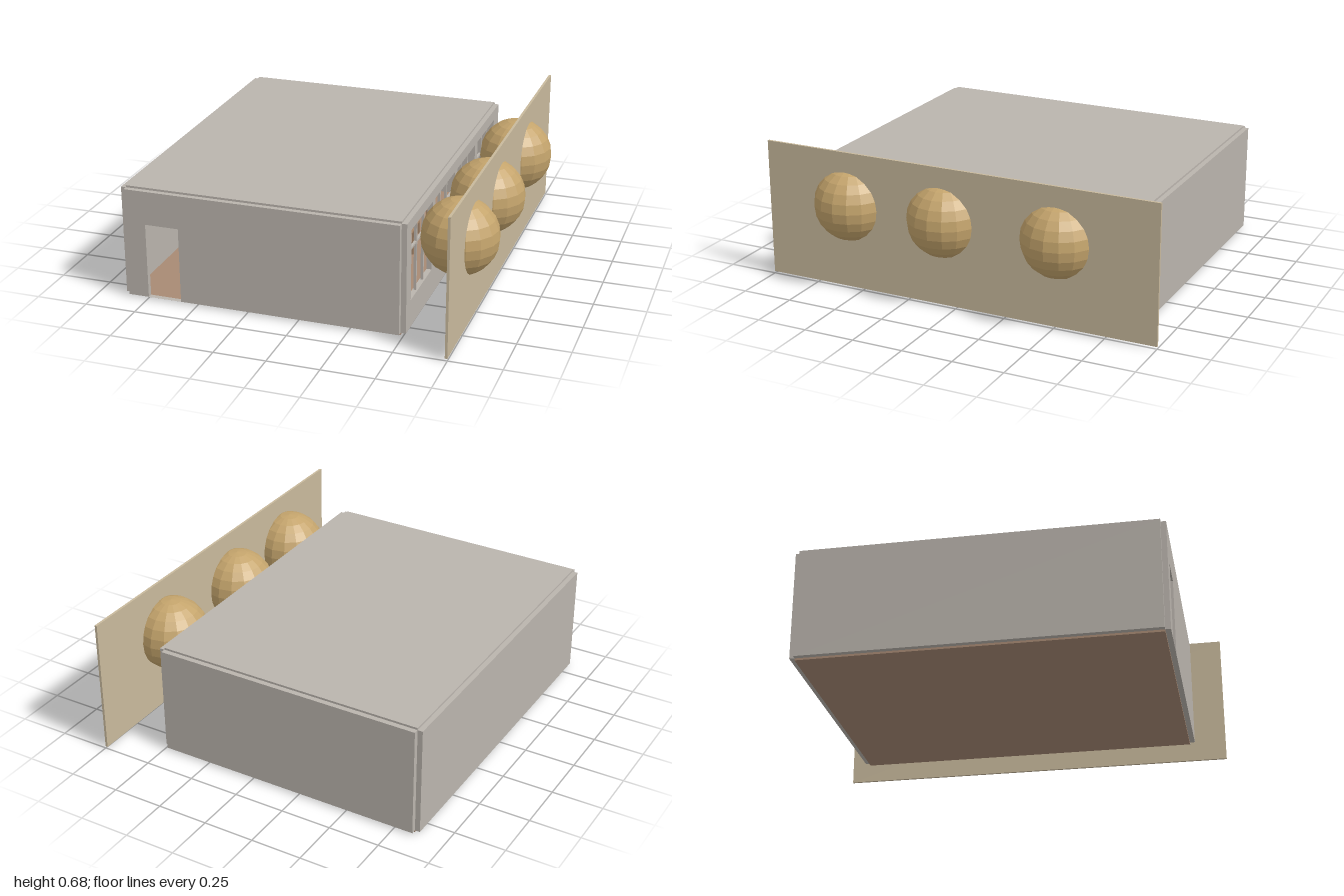
import * as THREE from 'three';

const mat = (name, color, flatShading = false) => {
  const m = new THREE.MeshStandardMaterial({ color, flatShading });
  m.name = name;
  return m;
};

export function createModel() {
  const model = new THREE.Group();
  model.name = 'classroom';
  const wallMat = mat('wall grey', 0xbab4ad);
  const floorMat = mat('floor brown', 0xa88a74);
  const woodMat = mat('furniture wood', 0xa8886c);
  const darkMat = mat('dark grey', 0x5c5a58);
  const panelMat = mat('backdrop tan', 0xc8b99c);
  const ballMat = mat('foliage ochre', 0xc4a46c, true);

  const add = (parent, name, geometry, material, x = 0, y = 0, z = 0) => {
    const mesh = new THREE.Mesh(geometry, material);
    mesh.name = name;
    mesh.position.set(x, y, z);
    parent.add(mesh);
    return mesh;
  };
  // box given by its minimum and maximum corners
  const box = (parent, name, material, [x0, y0, z0], [x1, y1, z1]) =>
    add(parent, name, new THREE.BoxGeometry(x1 - x0, y1 - y0, z1 - z0), material,
      (x0 + x1) / 2, (y0 + y1) / 2, (z0 + z1) / 2);
  const rect = (Type, x0, y0, x1, y1) => new Type([
    new THREE.Vector2(x0, y0), new THREE.Vector2(x1, y0),
    new THREE.Vector2(x1, y1), new THREE.Vector2(x0, y1)]);
  // upright wall with rectangular openings
  const wallGeometry = (a, b, holes) => {
    const shape = rect(THREE.Shape, a, 0.01, b, 0.545);
    shape.holes = holes.map(h => rect(THREE.Path, ...h));
    return new THREE.ExtrudeGeometry(shape, { depth: 0.025, bevelEnabled: false });
  };

  // room shell: walls stand outside the floor and ceiling, leaving notched corners
  const X0 = -0.845, X1 = 0.485, Z0 = -0.835, Z1 = 0.83;
  box(model, 'floor', floorMat, [X0, 0, Z0], [X1, 0.01, Z1]);
  box(model, 'ceiling', wallMat, [X0, 0.545, Z0], [X1, 0.555, Z1]);
  box(model, 'backWall', wallMat, [X0, 0.01, Z0 - 0.025], [X1, 0.545, Z0]);
  box(model, 'rightWall', wallMat, [X0 - 0.025, 0.01, Z0], [X0, 0.545, Z1]);
  add(model, 'doorWall', wallGeometry(X0, X1, [[-0.745, 0.0101, -0.58, 0.38]]), wallMat, 0, 0, Z1);

  // window wall with four openings
  const windows = [-0.57, -0.18, 0.205, 0.59];
  const windowWall = add(model, 'windowWall',
    wallGeometry(Z0, Z1, windows.map(z => [z - 0.17, 0.145, z + 0.17, 0.49])), wallMat, X1 + 0.025);
  windowWall.rotation.y = -Math.PI / 2;

  // glazing bars
  windows.forEach(z => {
    const frame = new THREE.Group();
    frame.name = 'windowFrame';
    model.add(frame);
    [-0.057, 0.057].forEach(d =>
      box(frame, 'mullion', wallMat, [0.49, 0.145, z + d - 0.006], [0.502, 0.49, z + d + 0.006]));
    box(frame, 'transom', wallMat, [0.49, 0.38, z - 0.17], [0.502, 0.39, z + 0.17]);
  });

  // rows of desks and chairs
  const makeDesk = (x, z) => {
    const desk = new THREE.Group();
    desk.name = 'desk';
    box(desk, 'desktop', woodMat, [-0.105, 0.143, -0.06], [0.105, 0.151, 0.06]);
    for (const sx of [-1, 1]) for (const sz of [-1, 1])
      add(desk, 'deskLeg', new THREE.BoxGeometry(0.01, 0.133, 0.01), woodMat, sx * 0.095, 0.0765, sz * 0.05);
    box(desk, 'chairSeat', woodMat, [-0.055, 0.075, 0.04], [0.055, 0.083, 0.13]);
    box(desk, 'chairBack', woodMat, [-0.055, 0.075, 0.122], [0.055, 0.112, 0.13]);
    for (const sx of [-1, 1]) for (const sz of [0.046, 0.124])
      add(desk, 'chairLeg', new THREE.BoxGeometry(0.01, 0.065, 0.01), woodMat, sx * 0.05, 0.0425, sz);
    desk.position.set(x, 0, z);
    model.add(desk);
  };
  for (const x of [-0.56, -0.18, 0.2]) for (const z of [-0.3, 0.05, 0.4]) makeDesk(x, z);

  // boards on the back wall
  box(model, 'blackboard', darkMat, [-0.5, 0.18, Z0], [0.2, 0.42, Z0 + 0.01]);
  const notice = add(model, 'noticeBoard', new THREE.BoxGeometry(0.06, 0.09, 0.01), darkMat, -0.765, 0.225, Z0 + 0.006);
  notice.rotation.z = -0.08;

  // backdrop panel and round treetops outside the windows
  box(model, 'backdropPanel', panelMat, [0.738, 0.01, -1], [0.75, 0.68, 1]);
  [0.58, 0.08, -0.5].forEach(z =>
    add(model, 'treetop', new THREE.SphereGeometry(0.182, 16, 12), ballMat, 0.686, 0.412, z));

  return model;
}
